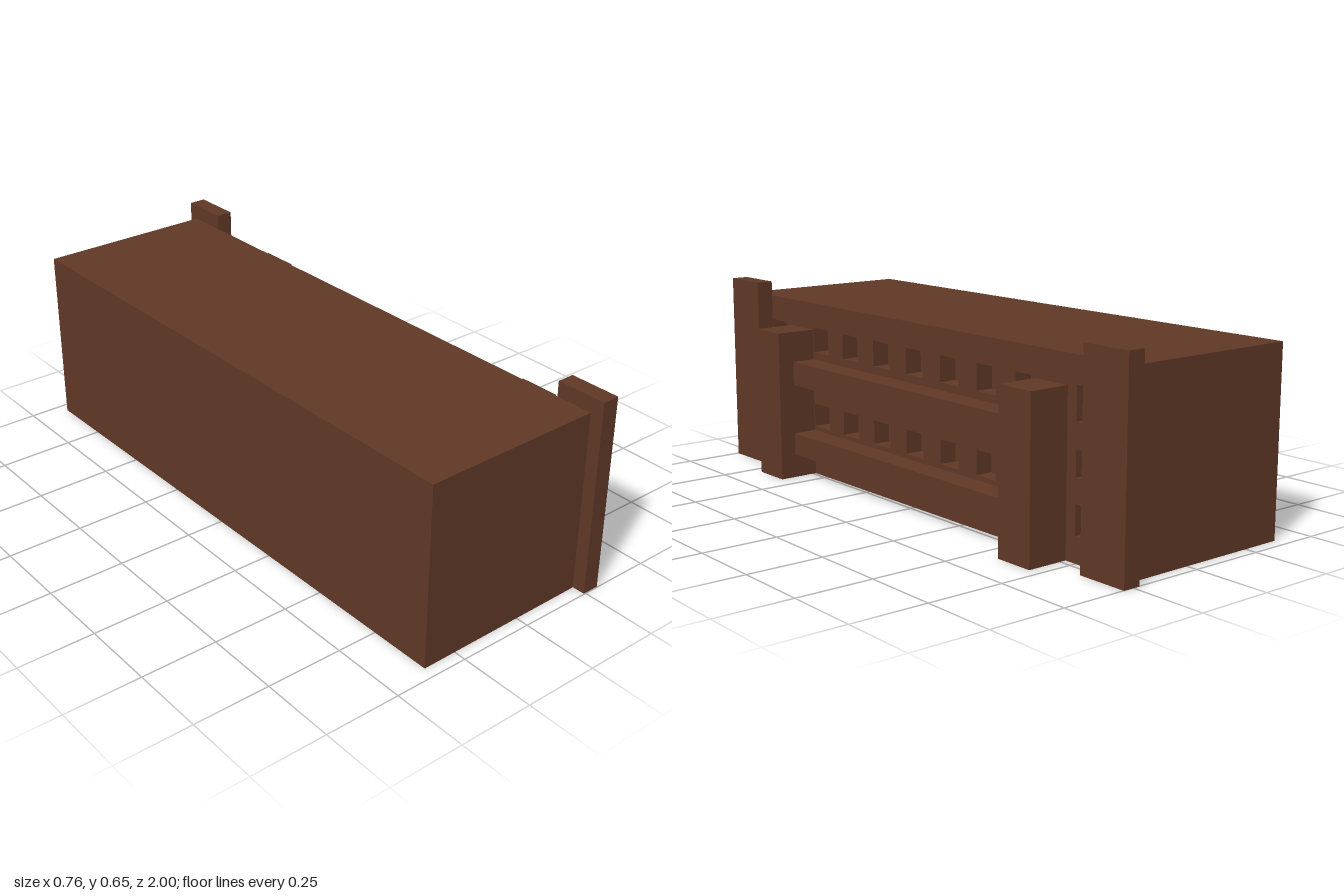
import * as THREE from 'three';

export function createModel() {
  const model = new THREE.Group();
  model.name = 'building';
  const material = new THREE.MeshStandardMaterial({ color: 0x603826, flatShading: true });

  const add = (parent, name, geometry) => {
    const mesh = new THREE.Mesh(geometry, material);
    mesh.name = name;
    parent.add(mesh);
    return mesh;
  };
  // Box given by its limits along each axis
  const block = (parent, name, [x0, x1], [y0, y1], [z0, z1]) => {
    const mesh = add(parent, name, new THREE.BoxGeometry(x1 - x0, y1 - y0, z1 - z0));
    mesh.position.set((x0 + x1) / 2, (y0 + y1) / 2, (z0 + z1) / 2);
  };

  // The whole building stands turned very slightly on its plot
  const house = new THREE.Group();
  house.name = 'house';
  house.rotation.y = 0.008;
  model.add(house);

  const face = 0.235, recess = 0.06, half = 0.96, height = 0.6;

  // Solid body behind the window wall
  block(house, 'body', [-0.373, face - recess], [0, height], [-half - 0.003, half - 0.003]);

  // Window wall with square recesses
  const wall = new THREE.Shape();
  wall.moveTo(-half, 0).lineTo(half, 0).lineTo(half, height).lineTo(-half, height).closePath();
  const windowHole = (centre, bottom, top) => {
    const a = centre - 0.045, b = centre + 0.045;
    const hole = new THREE.Path();
    hole.moveTo(a, bottom).lineTo(a, top).lineTo(b, top).lineTo(b, bottom).closePath();
    wall.holes.push(hole);
  };
  for (let i = -3; i <= 3; i++) {
    windowHole(i * 0.176, 0.17, 0.25);
    windowHole(i * 0.176, 0.43, 0.515);
  }
  for (const side of [-1, 1]) {
    windowHole(side * 0.787, 0.08, 0.175);
    windowHole(side * 0.787, 0.25, 0.33);
    windowHole(side * 0.787, 0.41, 0.515);
  }
  const windowWall = add(house, 'windowWall',
    new THREE.ExtrudeGeometry(wall, { depth: recess, bevelEnabled: false }));
  windowWall.rotation.y = Math.PI / 2;
  windowWall.position.set(face - recess, 0, -0.003);

  // Balcony ledges between the posts
  block(house, 'lowerLedge', [face, 0.317], [0.08, 0.155], [-0.573, 0.573]);
  block(house, 'upperLedge', [face, 0.317], [0.325, 0.405], [-0.573, 0.573]);

  // Mirrored posts and end pillars
  for (const side of [-1, 1]) {
    const span = (a, b) => (side > 0 ? [a, b] : [-b, -a]);
    block(house, 'balconyPost', [face, 0.373], [0, 0.508], span(0.573, 0.708));
    block(house, 'endPillar', [face + 0.001, 0.294], [0, 0.65], span(0.83, 1));
  }
  return model;
}
